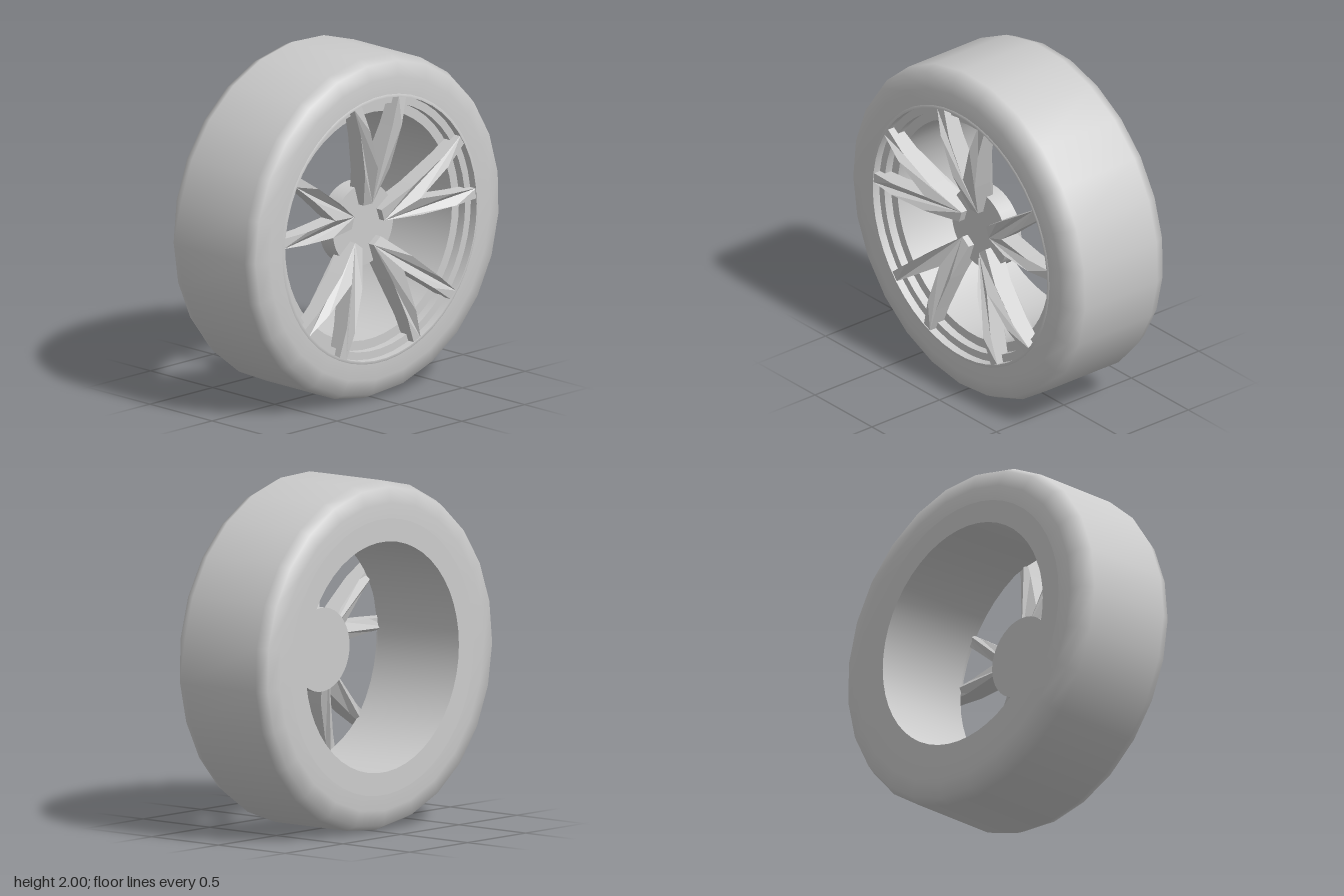
import * as THREE from 'three';
import { toCreasedNormals } from 'three/addons/utils/BufferGeometryUtils.js';

const material = new THREE.MeshStandardMaterial({ color: 0xcccccc, side: THREE.DoubleSide });

// Linear interpolation through [position, value] pairs
function sample(pairs, t) {
  for (let i = 1; i < pairs.length; i++) {
    const [a, va] = pairs[i - 1], [b, vb] = pairs[i];
    if (t <= b || i === pairs.length - 1) {
      return va + (vb - va) * THREE.MathUtils.clamp((t - a) / (b - a), 0, 1);
    }
  }
}

// Revolve a profile of [radius, x] around the axle (x axis)
function revolve(profile, segments, start = 0) {
  const points = profile.map(([r, x]) => new THREE.Vector2(r, x));
  return new THREE.LatheGeometry(points, segments, start).rotateZ(-Math.PI / 2);
}

function mesh(name, geometry) {
  const m = new THREE.Mesh(geometry, material);
  m.name = name;
  return m;
}

// Forked spoke: outline in the wheel plane, then front and back bent by radius
function spokeGeometry() {
  const half = [[0.035, 0.125], [0.098, 0.34], [0.163, 0.58], [0.207, 0.742], [0.15, 0.757], [0.088, 0.59]];
  const mirrored = half.map(([u, v]) => [-u, v]).reverse();
  const outline = [...half, [0, 0.355], ...mirrored];
  const shape = new THREE.Shape(outline.map(([u, v]) => new THREE.Vector2(u, v)));
  const geometry = new THREE.ExtrudeGeometry(shape, { depth: 1, bevelEnabled: false });

  const front = [[0.125, 0.245], [0.35, 0.325], [0.59, 0.354], [0.76, 0.342]];
  const back = [[0.125, 0.13], [0.35, 0.21], [0.59, 0.25], [0.76, 0.26]];
  const p = geometry.attributes.position;
  for (let i = 0; i < p.count; i++) {
    p.setZ(i, sample(p.getZ(i) > 0.5 ? front : back, p.getY(i)));
  }
  geometry.computeVertexNormals();
  return geometry.rotateY(Math.PI / 2);
}

export function createModel() {
  const wheel = new THREE.Group();
  wheel.name = 'wheel';
  wheel.position.y = 1;

  // Tyre: coarse smooth ring, from the back sidewall over the tread to the front
  const tyre = [
    [0.77, -0.359], [0.88, -0.355], [0.97, -0.34], [1, -0.275],
    [1, 0.26], [0.97, 0.32], [0.88, 0.342], [0.772, 0.345],
  ];
  wheel.add(mesh('tyre', revolve(tyre, 25, THREE.MathUtils.degToRad(260.6))));

  // Rim: front lip, two steps, long barrel and back flange
  const rim = [
    [0.785, 0.343], [0.775, 0.348], [0.765, 0.348], [0.765, 0.3], [0.72, 0.3],
    [0.72, 0.25], [0.665, 0.25], [0.66, -0.36], [0.79, -0.36],
  ];
  wheel.add(mesh('rim', toCreasedNormals(revolve(rim, 50), 0.5)));

  // Hub disc, set back behind the spokes
  const hub = mesh('hub', new THREE.CylinderGeometry(0.24, 0.24, 0.11, 40).rotateZ(-Math.PI / 2));
  hub.position.x = 0.15;
  wheel.add(hub);

  // Five forked spokes
  const geometry = spokeGeometry();
  for (let i = 0; i < 5; i++) {
    const spoke = mesh('spoke', geometry);
    spoke.rotation.x = (i * Math.PI * 2) / 5;
    wheel.add(spoke);
  }

  const model = new THREE.Group();
  model.add(wheel);
  return model;
}
